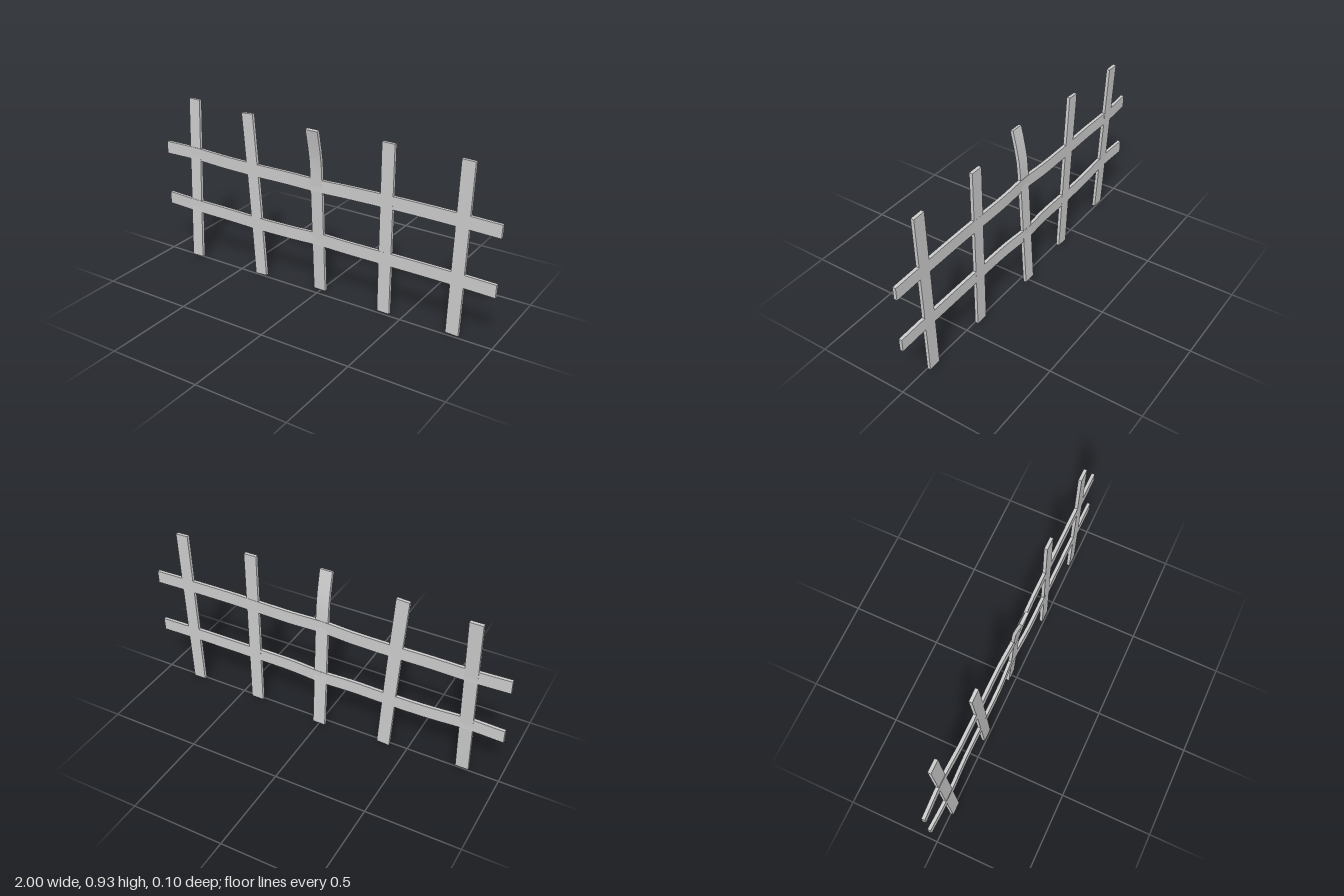
import * as THREE from 'three';
import { toCreasedNormals } from 'three/addons/utils/BufferGeometryUtils.js';

const WIDTH = 0.07, THICK = 0.018, Z = -0.014;
const material = new THREE.MeshStandardMaterial({ color: 0xcccccc });

// Flat bar swept along a smooth path; `side` is the rough direction of its width.
function bar(name, points, side, steps) {
  const curve = new THREE.CatmullRomCurve3(points.map(p => new THREE.Vector3(...p)));
  const pos = [], index = [];
  for (let i = 0; i <= steps; i++) {
    const c = curve.getPointAt(i / steps), t = curve.getTangentAt(i / steps);
    const n = new THREE.Vector3().crossVectors(t, side).normalize();
    const w = new THREE.Vector3().crossVectors(n, t).normalize();
    for (const [a, b] of [[-1, -1], [1, -1], [1, 1], [-1, 1]]) {
      const v = c.clone().addScaledVector(w, a * WIDTH / 2).addScaledVector(n, b * THICK / 2);
      pos.push(v.x, v.y, v.z);
    }
    if (i < steps) for (let k = 0; k < 4; k++) {
      const a = i * 4 + k, b = i * 4 + (k + 1) % 4;
      index.push(a, b, a + 4, b, b + 4, a + 4);
    }
  }
  // End caps
  const e = steps * 4;
  index.push(0, 2, 1, 0, 3, 2, e, e + 1, e + 2, e, e + 2, e + 3);
  const g = new THREE.BufferGeometry();
  g.setAttribute('position', new THREE.Float32BufferAttribute(pos, 3));
  g.setIndex(index);
  const mesh = new THREE.Mesh(toCreasedNormals(g, 0.6), material);
  mesh.name = name;
  return mesh;
}

export function createModel() {
  const group = new THREE.Group();
  group.name = 'fence';

  // Upright pickets: some lean, and the middle one curls forward at the top
  const pickets = [
    [[-0.803, 0.008, 0.007], [-0.803, 0.928, -0.036]],
    [[-0.37, 0.003, Z], [-0.4, 0.47, Z], [-0.434, 0.921, Z]],
    [[-0.002, 0.008, -0.039], [-0.002, 0.31, -0.0225], [-0.002, 0.62, -0.006],
      [-0.002, 0.75, 0.003], [-0.002, 0.84, 0.019], [-0.002, 0.928, 0.039]],
    [[0.399, 0.008, Z], [0.399, 0.928, Z]],
    [[0.785, 0.008, Z], [0.798, 0.47, Z], [0.811, 0.928, Z]],
  ];
  const across = new THREE.Vector3(1, 0, 0), up = new THREE.Vector3(0, 1, 0);
  pickets.forEach((p, i) => group.add(bar('picket' + (i + 1), p, across, p.length > 2 ? 16 : 1)));

  // Rails bow to follow the leaning pickets
  group.add(bar('upperRail', [
    [-1, 0.621, Z], [-0.803, 0.62, -0.021], [-0.6, 0.616, Z], [-0.4, 0.614, Z], [-0.18, 0.616, Z],
    [-0.002, 0.619, -0.006], [0.18, 0.621, Z], [0.5, 0.626, Z], [0.8, 0.624, Z], [0.997, 0.62, Z],
  ], up, 48));
  group.add(bar('lowerRail', [
    [-1, 0.316, Z], [-0.803, 0.314, -0.007], [-0.6, 0.309, Z], [-0.4, 0.306, Z], [-0.18, 0.309, Z],
    [-0.002, 0.311, -0.0225], [0.18, 0.314, Z], [0.5, 0.315, Z], [0.8, 0.314, Z], [0.993, 0.31, Z],
  ], up, 48));
  return group;
}
